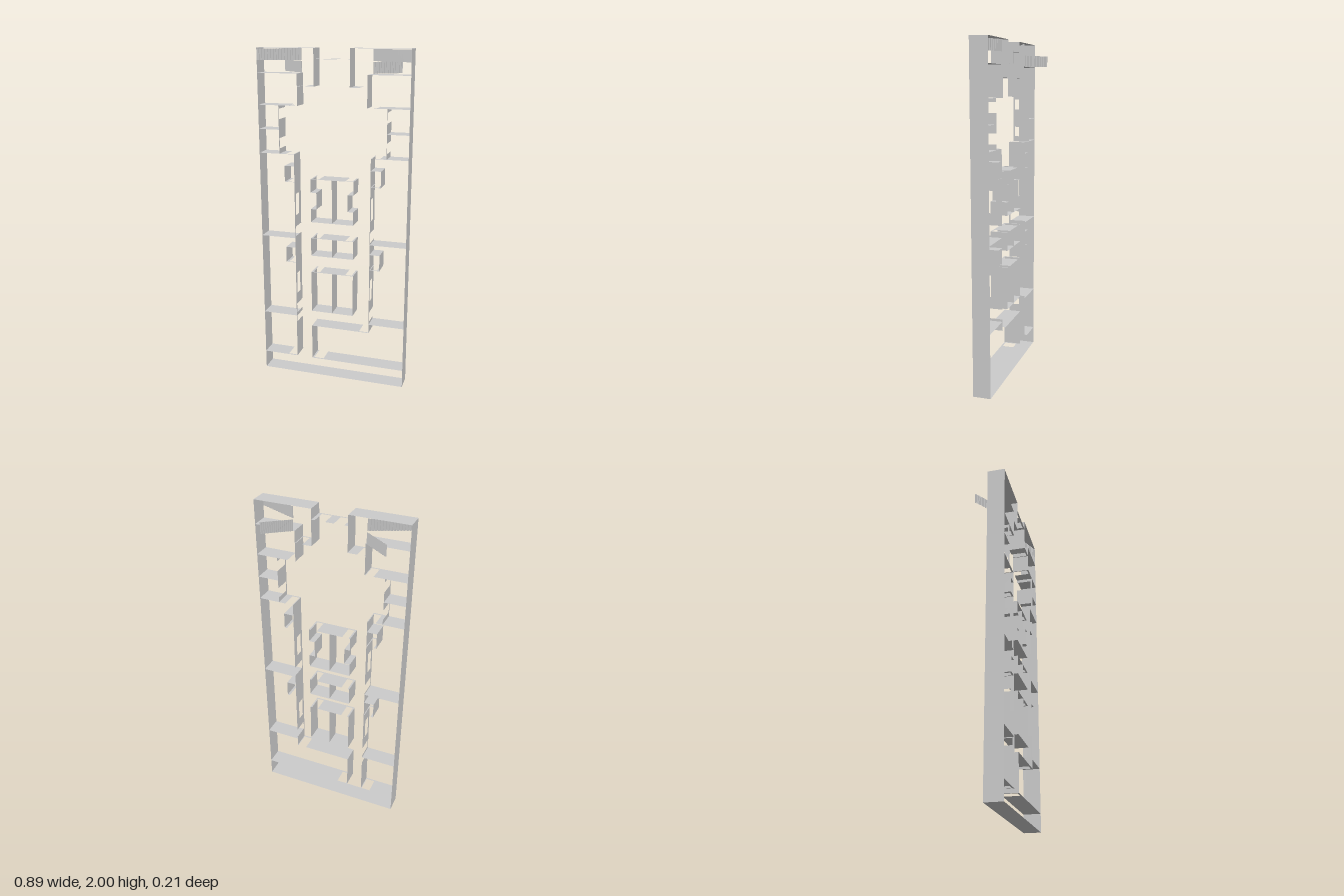
import * as THREE from 'three';

const H = 0.105; // wall height, measured along z
const X0 = 0.445; // half width of the building
const mat = new THREE.MeshStandardMaterial({ color: 0xcccccc, side: THREE.DoubleSide, flatShading: true });

// Thin panel on a wall line: 'x' runs along x at y = at, 'y' runs along y at x = at
function panel(group, axis, at, a, b, z0, z1) {
  const g = new THREE.PlaneGeometry(b - a, z1 - z0);
  g.rotateX(Math.PI / 2);
  if (axis === 'y') g.rotateZ(Math.PI / 2);
  const m = new THREE.Mesh(g, mat);
  const mid = (a + b) / 2;
  m.position.set(axis === 'x' ? mid : at, axis === 'x' ? at : mid, (z0 + z1) / 2);
  m.name = 'wallPanel';
  group.add(m);
}

const door = (a, b) => ({ a, b, z0: 0, z1: 0.095 });
const pane = (a, b) => ({ a, b, z0: 0.035, z1: 0.085 });

// Wall from a to b, split into panels around its openings (sorted along the wall)
function wall(parent, name, axis, at, a, b, openings = []) {
  const group = new THREE.Group();
  group.name = name;
  let from = a;
  for (const o of openings) {
    if (o.a > from) panel(group, axis, at, from, o.a, 0, H);
    if (o.z0 > 0) panel(group, axis, at, o.a, o.b, 0, o.z0);
    panel(group, axis, at, o.a, o.b, o.z1, H);
    from = o.b;
  }
  if (b > from) panel(group, axis, at, from, b, 0, H);
  parent.add(group);
}

// Zigzag flight of treads and risers climbing along x from z = 0 to z = rise
function stairs(parent, name, xa, xb, y0, y1, rise, steps) {
  const pos = [], idx = [];
  for (let i = 0; i <= steps; i++) {
    const x = xa + ((xb - xa) * i) / steps;
    for (const k of [i, i + 1]) {
      const z = (rise * Math.min(k, steps)) / steps;
      pos.push(x, y0, z, x, y1, z);
    }
  }
  for (let j = 0; j < pos.length / 6 - 1; j++) {
    const p = j * 2;
    idx.push(p, p + 2, p + 1, p + 1, p + 2, p + 3);
  }
  let g = new THREE.BufferGeometry();
  g.setAttribute('position', new THREE.Float32BufferAttribute(pos, 3));
  g.setIndex(idx);
  g = g.toNonIndexed();
  g.computeVertexNormals();
  const m = new THREE.Mesh(g, mat);
  m.name = name;
  parent.add(m);
}

export function createModel() {
  const root = new THREE.Group();
  root.name = 'floorPlan';

  for (const s of [-1, 1]) {
    const side = new THREE.Group();
    side.name = s > 0 ? 'leftWing' : 'rightWing';
    root.add(side);
    // Walls along x, given for the +x side and mirrored
    const across = (name, y, a, b, ops = []) => {
      const o = s > 0 ? ops : ops.map(p => ({ ...p, a: -p.b, b: -p.a })).reverse();
      wall(side, name, 'x', y, s > 0 ? a : -b, s > 0 ? b : -a, o);
    };
    const along = (name, x, a, b, ops) => wall(side, name, 'y', s * x, a, b, ops);

    // Outer shell
    along('outerSideWall', X0, 0, 2);
    across('outerTopWall', 2, 0.105, X0);

    // Entrance lobby and stepped hall
    along('lobbyWall', 0.105, 1.79, 2);
    across('lobbyReturn', 1.79, 0.105, 0.205, [door(0.16, 0.2)]);
    along('hallUpperWall', 0.205, 1.68, 1.86);
    across('stairRoomWall', 1.86, 0.205, X0);
    across('hallShoulder', 1.68, 0.205, X0, [door(0.21, 0.255)]);
    along('hallSideWall', 0.32, 1.4, 1.68, [door(1.43, 1.49), door(1.6, 1.66)]);
    across('smallRoomDivider', 1.54, 0.32, X0);
    across('hallLowerWall', 1.4, 0.23, X0, [door(0.235, 0.28)]);

    // Corridor wall with room doors and inner windows
    const ops = [door(0.4, 0.46), pane(0.53, 0.66), door(0.9, 0.96), pane(1.03, 1.16)];
    if (s < 0) ops.unshift(door(0.34, 0.38));
    along('corridorWall', 0.23, s > 0 ? 0.33 : 0.11, 1.4, ops);
    across('roomDivider', 0.89, 0.23, X0);
    across('roomDivider', 0.385, 0.23, X0);

    // Closets beside the corridor
    for (const y of [1.235, 0.735]) {
      across('closetFront', y, 0.23, 0.29, [door(0.235, 0.275)]);
      along('closetSide', 0.29, y, y + 0.095);
      across('closetBack', y + 0.095, 0.23, 0.29);
    }

    // Stair flights: one climbing, one descending below the floor
    stairs(side, 'stairsUp', s * 0.212, s * X0, 1.93, 1.995, H, 16);
    stairs(side, 'stairsDown', s * 0.212, s * 0.355, 1.86, 1.925, -H, 16);

    // Sides of the central blocks; the top one is notched
    along('topBlockSide', 0.13, 1.18, 1.26);
    across('topBlockNotch', 1.18, 0.095, 0.13);
    along('topBlockInnerSide', 0.095, 1.08, 1.18);
    across('topBlockNotch', 1.08, 0.095, 0.13);
    along('topBlockSide', 0.13, 1.0, 1.08);
    along('middleBlockSide', 0.13, 0.79, 0.9);
    along('lowerBlockSide', 0.13, 0.43, 0.685);
  }

  // Central blocks: top wall with two doors, bottom wall and divider
  for (const [y0, y1] of [[1.0, 1.26], [0.79, 0.9], [0.43, 0.685]]) {
    wall(root, 'blockTopWall', 'x', y1, -0.13, 0.13, [door(-0.12, -0.08), door(0.08, 0.12)]);
    wall(root, 'blockBottomWall', 'x', y0, -0.13, 0.13);
    wall(root, 'blockDivider', 'y', 0, y0, y1);
  }

  // Entrance wall with two doorways
  wall(root, 'entranceWall', 'x', 1.94, -0.105, 0.105, [door(-0.085, -0.025), door(0.025, 0.085)]);

  // Bottom rooms and gallery
  wall(root, 'outerBottomWall', 'x', 0, -X0, X0);
  wall(root, 'galleryWall', 'x', 0.11, -X0, -0.23, [door(-0.29, -0.235)]);
  wall(root, 'galleryWall', 'x', 0.11, -0.13, X0, [door(-0.12, -0.06)]);
  wall(root, 'bottomRoomSide', 'y', -0.13, 0.11, 0.33);
  wall(root, 'bottomRoomTop', 'x', 0.33, -0.13, 0.23, [door(0.17, 0.225)]);

  return root;
}
